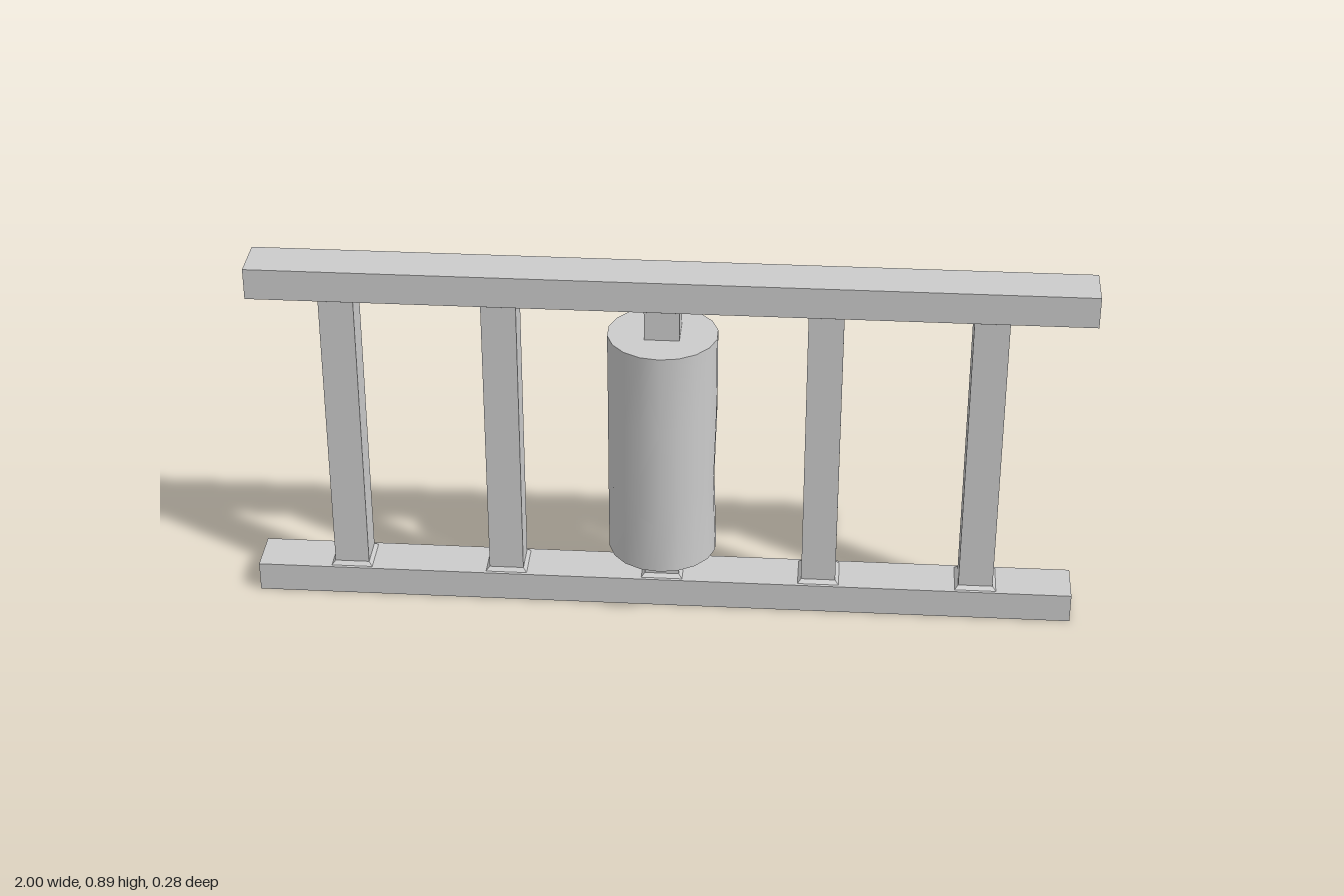
import * as THREE from 'three';

const material = new THREE.MeshStandardMaterial({ color: 0xcccccc });

function add(parent, name, geometry, x, y, z) {
  const mesh = new THREE.Mesh(geometry, material);
  mesh.name = name;
  mesh.position.set(x, y, z);
  parent.add(mesh);
  return mesh;
}

// Box running between two x positions and two heights
function rail(parent, name, x0, x1, y0, y1) {
  add(parent, name, new THREE.BoxGeometry(x1 - x0, y1 - y0, 0.116),
    (x0 + x1) / 2, (y0 + y1) / 2, 0);
}

// Four-sided collar tapering from the rail to the post
function collarGeometry(bottomHalf, topHalf, height) {
  const g = new THREE.CylinderGeometry(topHalf * Math.SQRT2, bottomHalf * Math.SQRT2, height, 4)
    .rotateY(Math.PI / 4).toNonIndexed();
  g.computeVertexNormals();
  return g;
}

// Round drum, slightly battered: bulged low and dented high at the back
function drumGeometry() {
  const height = 0.584;
  const g = new THREE.CylinderGeometry(0.131, 0.131, height, 18, 3);
  const pos = g.attributes.position;
  const bump = new THREE.Vector2(-0.4, -0.917);
  const dir = new THREE.Vector2();
  for (let i = 0; i < pos.count; i++) {
    const y = pos.getY(i);
    if (Math.abs(y) > height * 0.4) continue;
    dir.set(pos.getX(i), pos.getZ(i)).normalize();
    const w = Math.max(0, dir.dot(bump)) ** 3;
    const low = y < 0;
    let r = 0.131 + w * (low ? 0.017 : -0.013);
    if (low) r += 0.004 * Math.max(0, dir.y) ** 2 - 0.006 * Math.max(0, dir.x) ** 2;
    pos.setXYZ(i, dir.x * r, low ? -0.1 : 0.095, dir.y * r);
  }
  g.computeVertexNormals();
  // Keep the two ends of the side seam shading alike
  const n = g.attributes.normal;
  for (let row = 0; row < 4; row++) {
    const a = row * 19, b = a + 18;
    const m = new THREE.Vector3(n.getX(a) + n.getX(b), n.getY(a) + n.getY(b), n.getZ(a) + n.getZ(b)).normalize();
    n.setXYZ(a, m.x, m.y, m.z);
    n.setXYZ(b, m.x, m.y, m.z);
  }
  return g;
}

export function createModel() {
  const model = new THREE.Group();
  model.name = 'railing';

  rail(model, 'bottomRail', -1, 0.99, 0, 0.073);
  rail(model, 'topRail', -0.98, 1, 0.813, 0.89);

  // Five square posts with collars at both ends
  const postGeometry = new THREE.BoxGeometry(0.083, 0.74, 0.083);
  const lowerCollar = collarGeometry(0.05, 0.0415, 0.009);
  const upperCollar = collarGeometry(0.0415, 0.05, 0.009);
  for (let i = 0; i < 5; i++) {
    const post = new THREE.Group();
    post.name = 'post' + (i + 1);
    post.position.x = -0.77 + i * 0.382;
    add(post, 'shaft', postGeometry, 0, 0.443, 0);
    add(post, 'lowerCollar', lowerCollar, 0, 0.0775, 0);
    add(post, 'upperCollar', upperCollar, 0, 0.8085, 0);
    model.add(post);
  }

  // Drum around the middle post
  add(model, 'drum', drumGeometry(), -0.006, 0.44, 0.004);
  return model;
}
